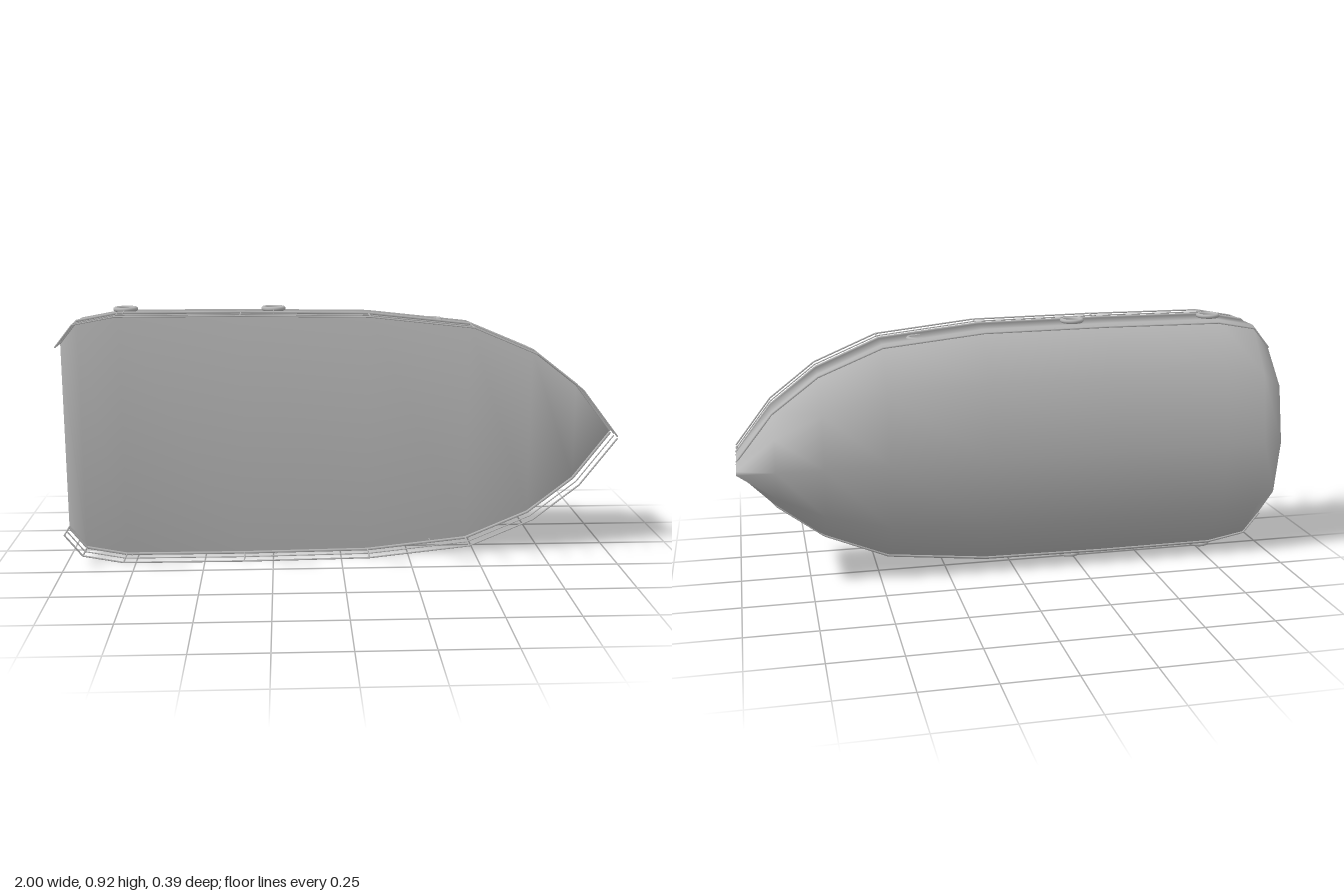
import * as THREE from 'three';
import { mergeGeometries } from 'three/addons/utils/BufferGeometryUtils.js';

const MID = 0.46; // height of the hull's centre plane (the boat lies on its side)

// Plan outline: position along the length, half beam
const STATIONS = [
  [-0.997, 0.34], [-0.935, 0.418], [-0.79, 0.445], [-0.355, 0.446], [0.1, 0.44],
  [0.465, 0.4], [0.695, 0.303], [0.86, 0.175], [0.992, 0.003],
];
// Half cross-section: fraction of half beam, z
const SECTION = [[1, 0.088], [0.997, -0.025], [0.605, -0.155], [0, -0.197]];

const hullMaterial = new THREE.MeshStandardMaterial({ color: 0xb4b4b4 });
hullMaterial.name = 'light grey';

// Closed hull with deck and transom sharing smooth normals
function hullGeometry() {
  const ring = [...SECTION, ...SECTION.slice(0, -1).reverse().map(([f, z]) => [-f, z])];
  const n = ring.length;
  const positions = [], index = [];
  for (const [x, half] of STATIONS) {
    for (const [f, z] of ring) positions.push(x, MID + f * half, z);
  }
  const last = (STATIONS.length - 1) * n;
  for (let i = 0; i < STATIONS.length - 1; i++) {
    for (let k = 0; k < n; k++) {
      const a = i * n + k, b = i * n + ((k + 1) % n);
      index.push(a, a + n, b, b, a + n, b + n);
    }
  }
  for (let k = 1; k < n - 1; k++) {
    index.push(0, k, k + 1);
    index.push(last, last + k + 1, last + k);
  }
  const geometry = new THREE.BufferGeometry();
  geometry.setAttribute('position', new THREE.Float32BufferAttribute(positions, 3));
  geometry.setIndex(index);
  geometry.computeVertexNormals();
  return geometry;
}

// Straight round bar between two points
function bar(a, b, radius) {
  const dir = b.clone().sub(a);
  const geometry = new THREE.CylinderGeometry(radius, radius, dir.length(), 6);
  geometry.applyQuaternion(new THREE.Quaternion().setFromUnitVectors(
    new THREE.Vector3(0, 1, 0), dir.clone().normalize()));
  const mid = a.clone().add(b).multiplyScalar(0.5);
  return geometry.translate(mid.x, mid.y, mid.z);
}

// Bars following the plan outline on one side at height z
function outlineRail(side, fraction, z, radius) {
  const points = STATIONS.map(([x, half]) =>
    new THREE.Vector3(x, MID + side * half * fraction, z));
  return mergeGeometries(points.slice(1).map((p, i) => bar(points[i], p, radius)));
}

export function createModel() {
  const model = new THREE.Group();
  model.name = 'boat';
  const add = (name, geometry, parent = model) => {
    const mesh = new THREE.Mesh(geometry, hullMaterial);
    mesh.name = name;
    parent.add(mesh);
    return mesh;
  };

  add('hull', hullGeometry());

  for (const side of [1, -1]) {
    const group = new THREE.Group();
    group.name = side > 0 ? 'upperSide' : 'lowerSide';
    model.add(group);

    // Gunwale, rub strip and guard wires
    add('gunwale', outlineRail(side, 1.003, 0.092, 0.005), group);
    add('rubStrip', outlineRail(side, 0.97, -0.039, 0.0035), group);
    add('middleWire', outlineRail(side, 1, 0.145, 0.0022), group);
    add('topRail', outlineRail(side, 1, 0.194, 0.003), group);

    // Stanchions from stern to shoulder
    for (const [x, half] of STATIONS.slice(0, 6)) {
      const y = MID + side * half;
      add('stanchion', bar(new THREE.Vector3(x, y, 0.088),
        new THREE.Vector3(x, y, 0.194), 0.0028), group);
    }

    // Ring fenders hung on short ropes
    for (const [x, half] of [[-0.77, 0.452], [-0.24, 0.452], [0.33, 0.408]]) {
      const ring = add('ringFender', new THREE.TorusGeometry(0.036, 0.008, 10, 28), group);
      ring.rotation.x = Math.PI / 2;
      ring.position.set(x, MID + side * half, 0.02);
      add('fenderRope', bar(new THREE.Vector3(x, MID + side * half, 0.055),
        new THREE.Vector3(x, MID + side * (half - 0.006), 0.117), 0.002), group);
    }
  }
  return model;
}
